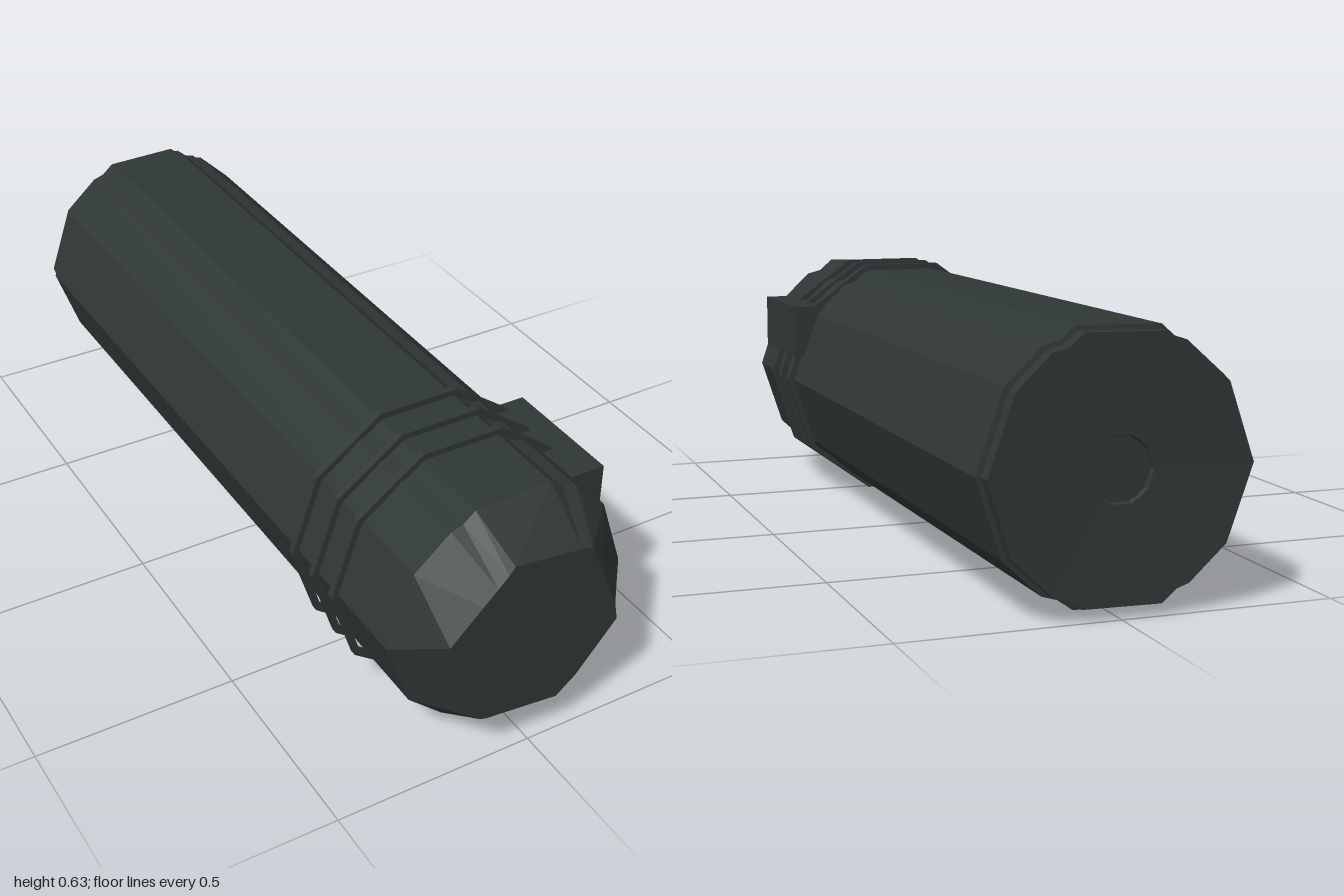
import * as THREE from 'three';

const CY = 0.317; // height of the long axis

// Skin a list of closed sections { pts: [[x, y]...], s: scale, z }, running front to back
function loft(sections) {
  const pos = [];
  const at = (sec, i) => {
    const p = sec.pts[i % sec.pts.length];
    return [p[0] * sec.s, p[1] * sec.s, sec.z];
  };
  for (let k = 0; k < sections.length - 1; k++) {
    const a = sections[k], b = sections[k + 1];
    for (let i = 0; i < a.pts.length; i++) {
      if (a.s > 0) pos.push(...at(a, i), ...at(b, i), ...at(a, i + 1));
      if (b.s > 0) pos.push(...at(a, i + 1), ...at(b, i), ...at(b, i + 1));
    }
  }
  const geo = new THREE.BufferGeometry();
  geo.setAttribute('position', new THREE.Float32BufferAttribute(pos, 3));
  geo.computeVertexNormals();
  return geo;
}

// Ten-sided outline
function decagon(r, Type) {
  const pts = [];
  for (let i = 0; i < 10; i++) {
    const a = (i / 10) * Math.PI * 2;
    pts.push(new THREE.Vector2(r * Math.cos(a), r * Math.sin(a)));
  }
  return new Type(pts);
}

export function createModel() {
  const group = new THREE.Group();
  const metal = new THREE.MeshStandardMaterial({ color: 0x2f3735 });
  metal.flatShading = true;

  const add = (name, geo, x, y, z) => {
    const mesh = new THREE.Mesh(geo, metal);
    mesh.name = name;
    mesh.position.set(x, y, z);
    group.add(mesh);
  };

  // Ten-sided body section with four shallow lengthwise grooves
  const body = [
    [0.313, 0], [0.25, 0.183], [0.168, 0.262], [0.13, 0.272], [0.095, 0.302],
    [-0.1, 0.298], [-0.13, 0.272], [-0.16, 0.262], [-0.25, 0.183],
    [-0.313, 0], [-0.25, -0.178], [-0.16, -0.26], [-0.13, -0.27], [-0.095, -0.3],
    [0.095, -0.297], [0.13, -0.272], [0.165, -0.262], [0.255, -0.178],
  ];
  // Irregular flat nose
  const nose = [
    [0.212, 0], [0.165, 0.11], [0.13, 0.19], [0.115, 0.195], [0.1, 0.198],
    [-0.075, 0.22], [-0.09, 0.2], [-0.115, 0.175], [-0.15, 0.14],
    [-0.23, 0.06], [-0.145, -0.17], [-0.137, -0.19], [-0.12, -0.195], [-0.1, -0.197],
    [0.07, -0.217], [0.09, -0.2], [0.12, -0.175], [0.222, -0.05],
  ];
  add('body', loft([
    { pts: nose, s: 0, z: 1 },
    { pts: nose, s: 1, z: 1 },
    { pts: body, s: 1, z: 0.88 },
    { pts: body, s: 1, z: -0.96 },
    { pts: body, s: 0.95, z: -0.962 },
    { pts: body, s: 0, z: -0.962 },
  ]), 0, CY, 0);

  // Rear cap with a shallow dish and sunken hub
  add('rearCap', loft([
    { pts: body, s: 0.965, z: -0.965 },
    { pts: body, s: 0.965, z: -1 },
    { pts: body, s: 0.24, z: -0.99 },
    { pts: body, s: 0.23, z: -0.98 },
    { pts: body, s: 0, z: -0.98 },
  ]), 0, CY, 0);

  // Three thin bands standing just clear of the body
  const bandShape = decagon(0.333, THREE.Shape);
  bandShape.holes.push(decagon(0.317, THREE.Path));
  const bandGeo = new THREE.ExtrudeGeometry(bandShape, { depth: 0.018, bevelEnabled: false });
  [0.67, 0.583, 0.49].forEach((z, i) => add('band' + (i + 1), bandGeo, 0, CY, z - 0.009));

  // Side block
  add('sideBlock', new THREE.BoxGeometry(0.101, 0.136, 0.32), 0.2655, 0.455, 0.63);

  return group;
}
